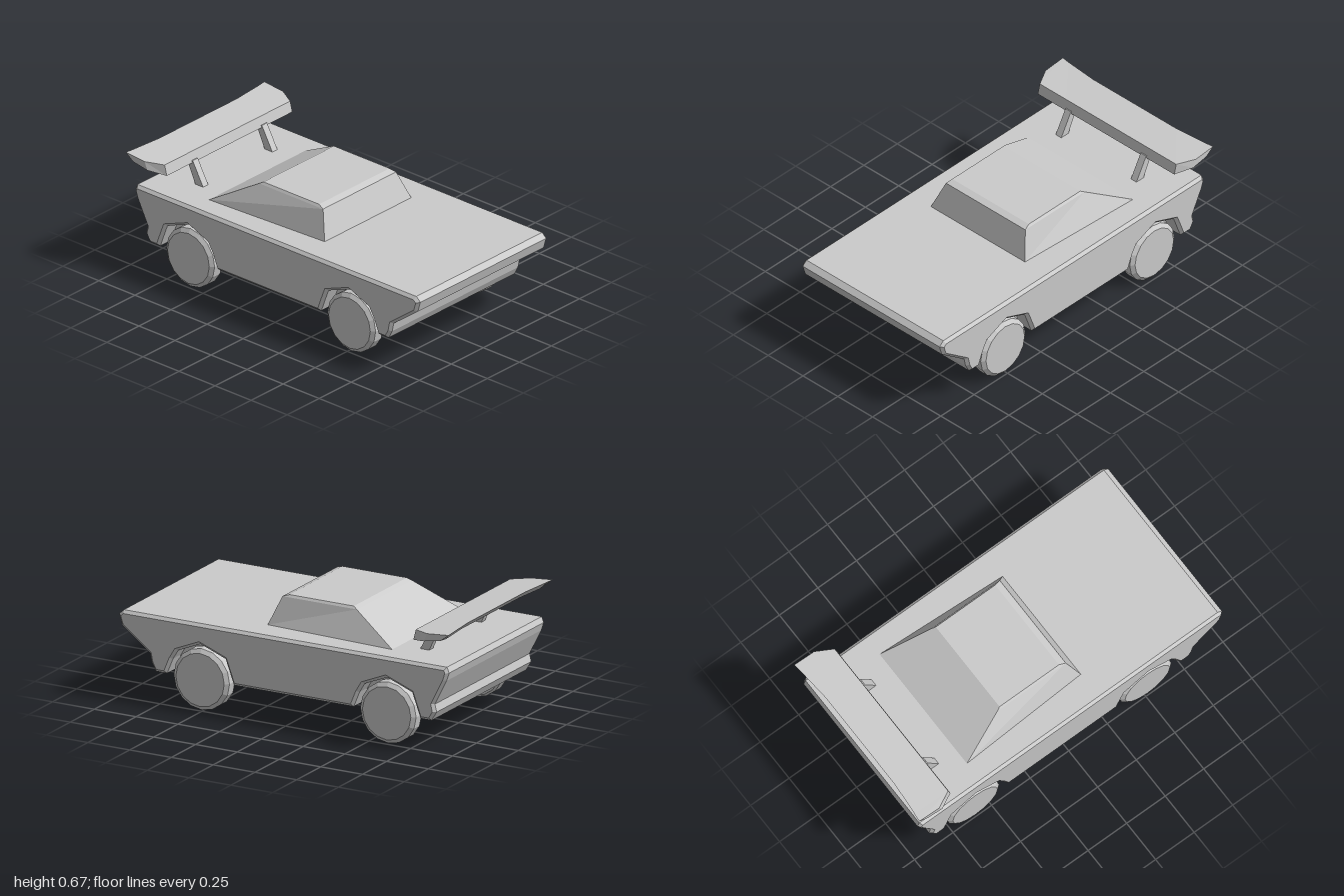
import * as THREE from 'three';

const grey = new THREE.MeshStandardMaterial({ color: 0xcccccc, flatShading: true });
const olive = new THREE.MeshStandardMaterial({ color: 0x726c30, flatShading: true });

function part(name, geometry, material = grey) {
  const mesh = new THREE.Mesh(geometry, material);
  mesh.name = name;
  return mesh;
}

// Extrudes a [z, y] side profile outwards along x from x0 to x1 on the given side.
// A bevel is cut into the outer face only.
function slab(profile, x0, x1, side = 1, bevel = 0) {
  const shape = new THREE.Shape(profile.map(([z, y]) => new THREE.Vector2(-side * z, y)));
  const g = new THREE.ExtrudeGeometry(shape, {
    depth: x1 - x0 - bevel, bevelEnabled: bevel > 0, bevelSegments: 1,
    bevelThickness: bevel, bevelSize: bevel, bevelOffset: -bevel,
  });
  const p = g.attributes.position;
  for (let i = 0; i < p.count; i++) p.setZ(i, Math.max(0, p.getZ(i)));
  g.translate(0, 0, x0);
  g.rotateY(side * Math.PI / 2);
  g.computeVertexNormals();
  return g;
}

// Skins equal-sized rings of [x, y, z] points and closes both ends.
// Rings run counter-clockwise as seen from the last ring's outer side.
function loft(rings) {
  const n = rings[0].length, index = [];
  for (let r = 0; r < rings.length - 1; r++) {
    for (let i = 0; i < n; i++) {
      const a = r * n + i, b = r * n + (i + 1) % n;
      index.push(a, b, b + n, a, b + n, a + n);
    }
  }
  const last = (rings.length - 1) * n;
  for (let i = 1; i < n - 1; i++) {
    index.push(0, i + 1, i, last, last + i, last + i + 1);
  }
  const g = new THREE.BufferGeometry();
  g.setAttribute('position', new THREE.Float32BufferAttribute(rings.flat(2), 3));
  g.setIndex(index);
  const flat = g.toNonIndexed();
  flat.computeVertexNormals();
  return flat;
}

const wheelZ = [0.513, -0.604];

// Outline of the body side, front to back over the top, then along the bottom
const back = [[0.972, 0.475], [-0.962, 0.475], [-0.975, 0.445], [-0.96, 0.4],
  [-0.89, 0.262], [-0.9, 0.22], [-0.87, 0.17]];
const bumper = [[0.78, 0.17], [0.805, 0.217], [0.815, 0.265]];
const lip = [[0.982, 0.39], [1, 0.45]];
const recess = [[0.8, 0.265], [0.8, 0.39]];
const arch = [[-0.2, 0.17], [-0.167, 0.26], [-0.15, 0.305], [0, 0.362],
  [0.135, 0.305], [0.165, 0.255], [0.2, 0.17]];
const arches = [wheelZ[1], wheelZ[0]].flatMap(c => arch.map(([z, y]) => [c + z, y]));

function createBody() {
  const body = new THREE.Group();
  body.name = 'body';
  // centre section with the sunken grille
  body.add(part('bodyCore', slab([...back, ...bumper, ...recess, ...lip], -0.408, 0.408)));
  for (const side of [1, -1]) {
    // section over the wheels, still sunken at the front
    body.add(part('wheelBay', slab([...back, ...arches, ...bumper, ...recess, ...lip], 0.408, 0.45, side)));
    // bevelled flank that closes the end of the grille
    body.add(part('flank', slab([...back, ...arches, ...bumper, ...lip], 0.45, 0.507, side, 0.016)));
  }
  const grille = part('grille', new THREE.BoxGeometry(0.845, 0.09, 0.01), olive);
  grille.position.set(0, 0.33, 0.8);
  body.add(grille);
  return body;
}

function createCabin() {
  // each ring: height, front half width and z, rear half width and z
  const ring = (y, fx, fz, rx, rz) => [[-fx, y, fz], [fx, y, fz], [rx, y, rz], [-rx, y, rz]];
  return part('cabin', loft([
    ring(0.46, 0.343, 0.207, 0.383, -0.597),
    ring(0.475, 0.338, 0.2, 0.377, -0.568),
    ring(0.625, 0.285, 0.142, 0.285, -0.302),
    ring(0.637, 0.275, 0.105, 0.275, -0.28),
  ]));
}

function createWing() {
  const wing = new THREE.Group();
  wing.name = 'rearWing';
  // station: top front, top rear, bottom rear, bottom front
  const inner = z => [[-0.775, 0.65], [z, 0.667], [z + 0.04, 0.626], [-0.76, 0.592]];
  const tip = [[-0.87, 0.657], [-1, 0.668], [-0.95, 0.63], [-0.85, 0.612]];
  const stations = [[-0.54, tip], [-0.49, inner(-0.994)], [-0.3, inner(-0.978)],
    [0.3, inner(-0.978)], [0.49, inner(-0.994)], [0.54, tip]];
  wing.add(part('wingBlade', loft(stations.map(([x, s]) => s.map(([z, y]) => [x, y, z]).reverse()))));
  const strut = [[-0.68, 0.465], [-0.758, 0.605], [-0.8, 0.605], [-0.735, 0.465]];
  for (const side of [1, -1]) wing.add(part('wingStrut', slab(strut, 0.25, 0.29, side)));
  return wing;
}

function createWheel(side, z) {
  const profile = [[0, -0.042], [0.155, -0.042], [0.167, -0.032], [0.167, 0.025],
    [0.145, 0.042], [0, 0.042]].map(([r, h]) => new THREE.Vector2(r, h));
  const wheel = part('wheel', new THREE.LatheGeometry(profile, 16));
  wheel.rotation.z = -side * Math.PI / 2;
  wheel.position.set(side * 0.455, 0.167, z);
  return wheel;
}

export function createModel() {
  const car = new THREE.Group();
  car.name = 'car';
  car.add(createBody(), createCabin(), createWing());
  for (const z of wheelZ) for (const side of [1, -1]) car.add(createWheel(side, z));
  return car;
}
